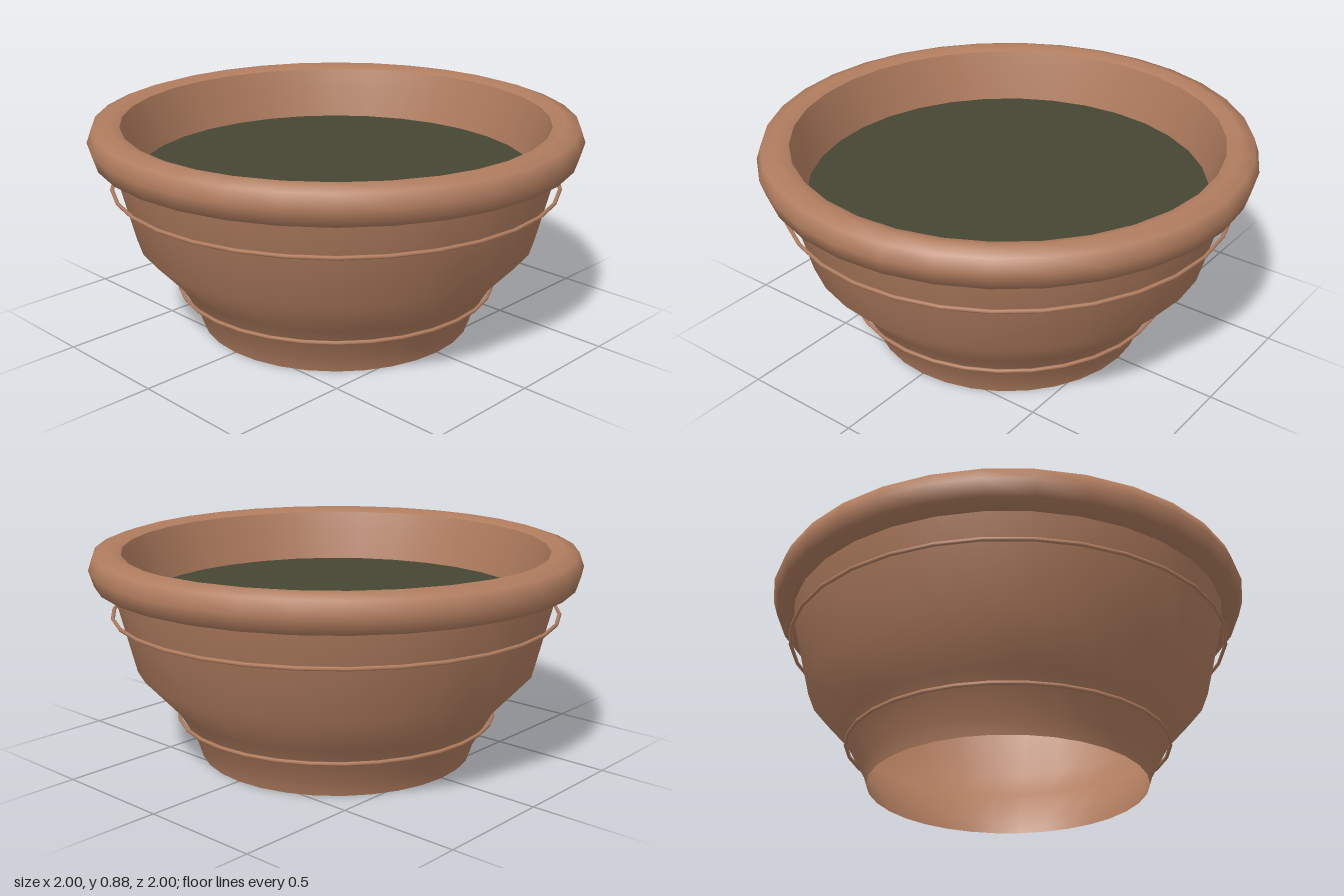
import * as THREE from 'three';

const SIDES = 32;

export function createModel() {
  const pot = new THREE.Group();
  pot.name = 'planter';

  const terracotta = new THREE.MeshStandardMaterial({ color: 0xb17d5f, side: THREE.DoubleSide });
  terracotta.name = 'terracotta';
  const soilColour = new THREE.MeshStandardMaterial({ color: 0x464634, side: THREE.DoubleSide });
  soilColour.name = 'dark soil';

  const add = (name, geometry, material = terracotta) => {
    const mesh = new THREE.Mesh(geometry, material);
    mesh.name = name;
    pot.add(mesh);
    return mesh;
  };
  const lathe = (profile) =>
    new THREE.LatheGeometry(profile.map(([r, y]) => new THREE.Vector2(r, y)), SIDES);

  // Flared bowl wall, open at the foot
  add('bowlWall', lathe([[0.57, 0], [0.59, 0.065], [0.675, 0.22], [0.825, 0.385], [0.91, 0.73]]));

  // Rolled rim, from its underside over the top
  add('rim', lathe([
    [0.905, 0.73], [0.98, 0.745], [1.0, 0.81], [0.98, 0.865], [0.92, 0.885], [0.87, 0.865],
  ]));

  // Inner lip running down past the soil
  add('innerLip', lathe([[0.87, 0.865], [0.85, 0.79], [0.82, 0.66], [0.81, 0.61]]));

  // Soil surface
  const soil = add('soil', new THREE.CircleGeometry(0.82, SIDES), soilColour);
  soil.rotation.x = -Math.PI / 2;
  soil.position.y = 0.65;

  // Thin decorative hoops around the wall
  for (const [name, radius, y] of [['upperHoop', 0.914, 0.61], ['lowerHoop', 0.66, 0.165]]) {
    const hoop = add(name, new THREE.TorusGeometry(radius, 0.008, 6, SIDES));
    hoop.rotation.x = Math.PI / 2;
    hoop.position.y = y;
  }

  return pot;
}
